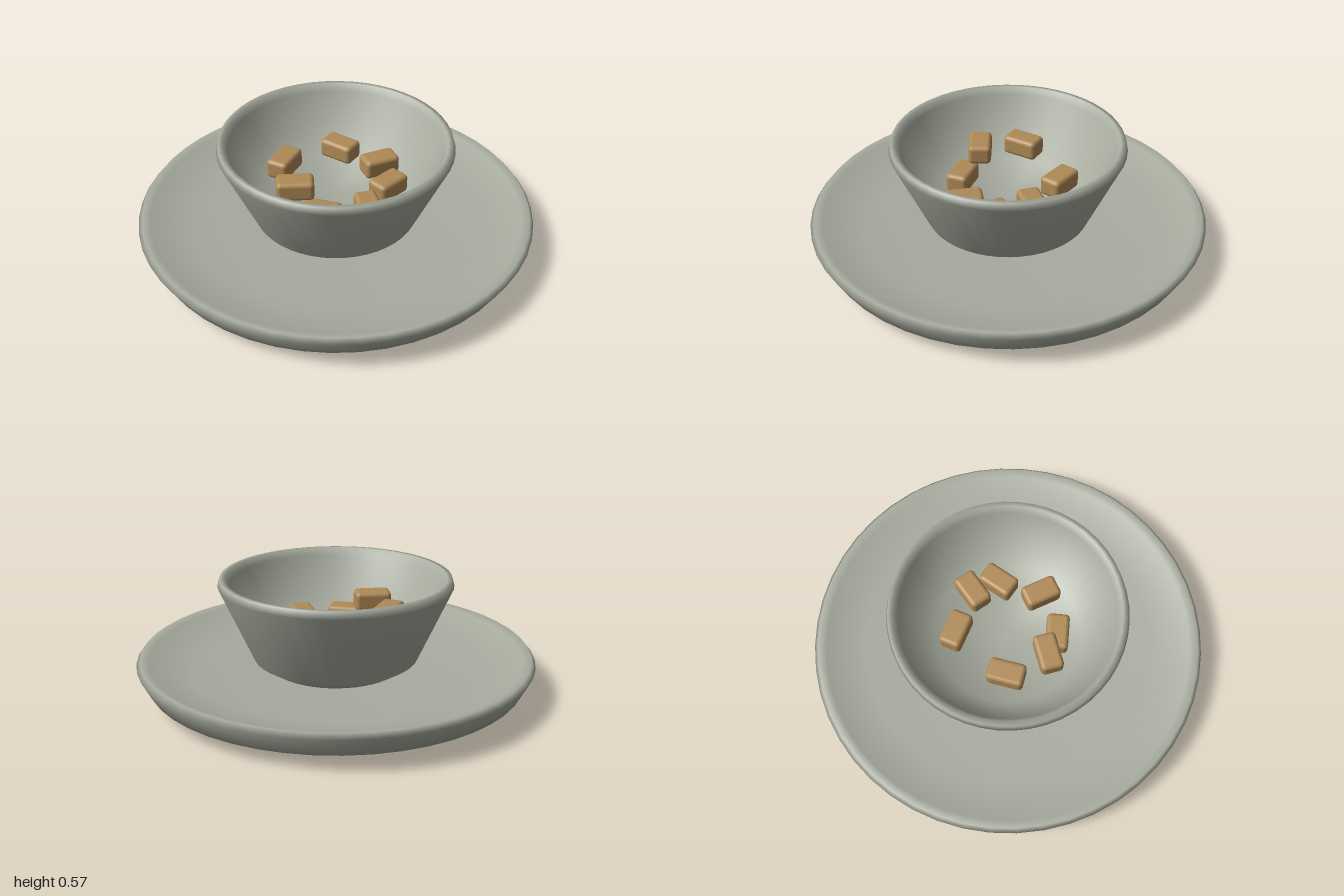
import * as THREE from 'three';
import { RoundedBoxGeometry } from 'three/addons/geometries/RoundedBoxGeometry.js';

export function createModel() {
  const model = new THREE.Group();
  const ceramic = new THREE.MeshStandardMaterial({ color: 0xa8ac9f });
  ceramic.name = 'grey ceramic';
  const biscuit = new THREE.MeshStandardMaterial({ color: 0xb08a56 });
  biscuit.name = 'brown biscuit';

  // Smooth turned part from a profile that runs from the base, up the outside and back inside
  function turned(name, profile) {
    const points = profile.map(([r, y]) => new THREE.Vector2(r, y));
    const mesh = new THREE.Mesh(new THREE.LatheGeometry(points, 48), ceramic);
    mesh.name = name;
    model.add(mesh);
  }

  // Wide saucer with a bevelled foot and shallow well
  turned('saucer', [
    [0, 0], [0.73, 0], [0.95, 0.07], [1, 0.165], [0.98, 0.19],
    [0.94, 0.175], [0.73, 0.11], [0, 0.11],
  ]);

  // Flared bowl with a narrow rim
  turned('bowl', [
    [0, 0.105], [0.33, 0.105], [0.417, 0.16], [0.585, 0.54], [0.575, 0.575],
    [0.55, 0.575], [0.53, 0.54], [0.37, 0.24], [0, 0.24],
  ]);

  // Loose pieces in a ring: x, y, z and turn in degrees
  const pieces = [
    [-0.05, 0.35, -0.255, -18],
    [0.175, 0.335, -0.195, 40],
    [0.255, 0.295, -0.07, 60],
    [0.21, 0.295, 0.15, -60],
    [0, 0.295, 0.25, 0],
    [-0.145, 0.395, 0.21, 20],
    [-0.265, 0.39, 0.015, 80],
  ];
  const pieceGeometry = new RoundedBoxGeometry(0.185, 0.1, 0.115, 2, 0.022);
  pieces.forEach(([x, y, z, turn], i) => {
    const piece = new THREE.Mesh(pieceGeometry, biscuit);
    piece.name = `foodPiece${i + 1}`;
    piece.position.set(x, y, z);
    piece.rotation.y = THREE.MathUtils.degToRad(turn);
    model.add(piece);
  });

  return model;
}
